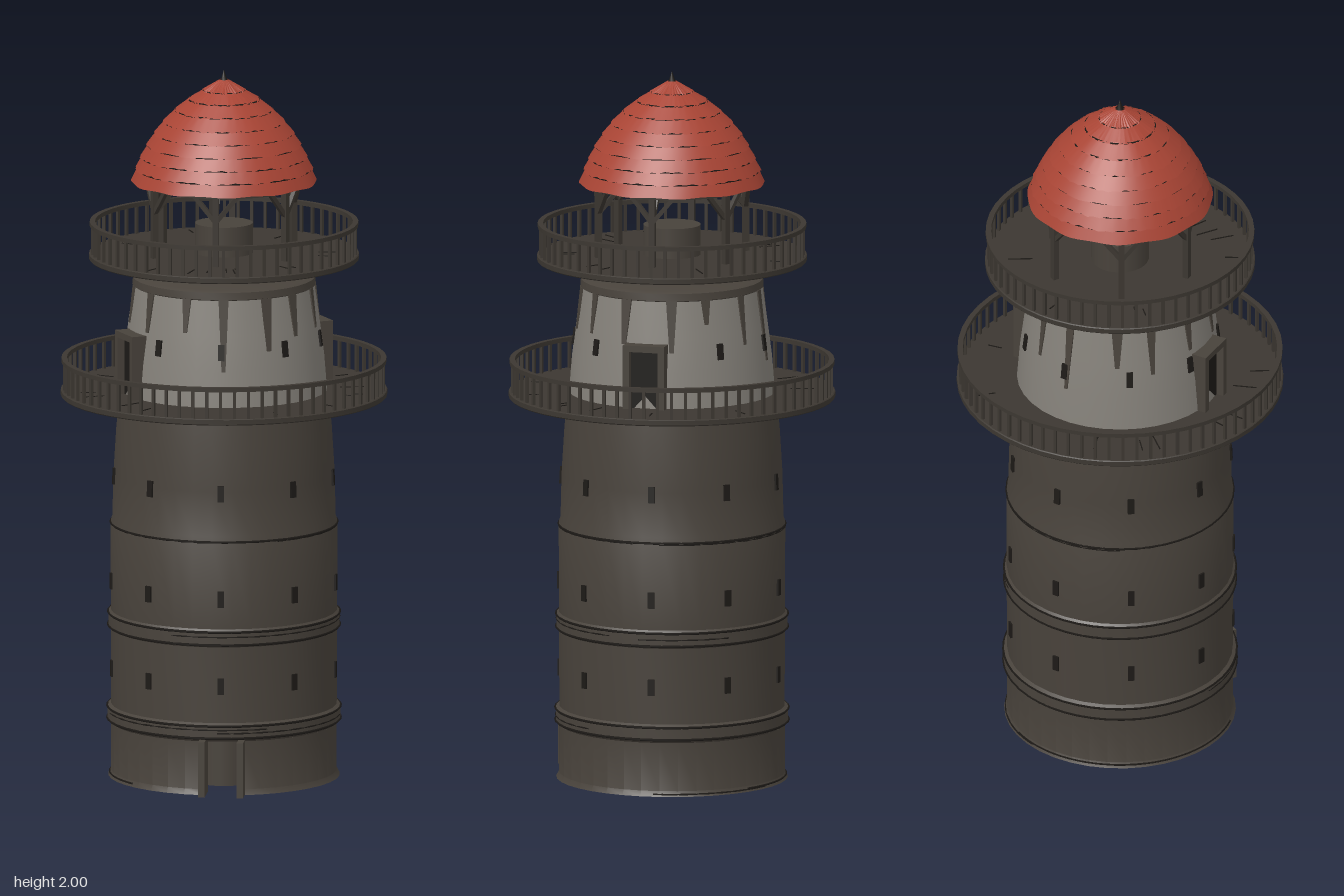
import * as THREE from 'three';
import { mergeGeometries, toCreasedNormals } from 'three/addons/utils/BufferGeometryUtils.js';

const mat = (name, color, extra = {}) => {
  const m = new THREE.MeshStandardMaterial({ color, ...extra });
  m.name = name;
  return m;
};
const V = (x, y, z) => new THREE.Vector3(x, y, z);
// point at angle a around the tower (a = 0 faces the front)
const polar = (r, a, y) => V(r * Math.sin(a), y, r * Math.cos(a));

export function createModel() {
  const root = new THREE.Group();
  const stone = mat('darkStone', 0x48423b);
  const plaster = mat('greyPlaster', 0x85817a);
  const lining = mat('paleLining', 0xb8b5ab, { side: THREE.DoubleSide });
  const wood = mat('darkWood', 0x3c3731);
  const ink = mat('blackLine', 0x1d1a17);
  const red = mat('redShingle', 0xa84434, { side: THREE.DoubleSide });

  const add = (name, geo, material) => {
    const m = new THREE.Mesh(geo, material);
    m.name = name;
    root.add(m);
    return m;
  };
  const lathe = (pts, start = 0, len = Math.PI * 2, seg = 36) => toCreasedNormals(
    new THREE.LatheGeometry(pts.map(p => new THREE.Vector2(p[0], p[1])), seg, start, len), 0.5);
  // box w x h x d standing on the circle of radius r, turned outward and leaning back by tilt
  const block = (w, h, d, r, a, y, tilt = 0, dx = 0) => {
    const g = new THREE.BoxGeometry(w, h, d);
    g.rotateX(-tilt);
    g.translate(dx, y, r);
    return g.rotateY(a);
  };
  const beam = (a, b, t) => {
    const g = new THREE.BoxGeometry(t, t, a.distanceTo(b));
    const m = new THREE.Matrix4().lookAt(b, a, V(0.01, 1, 0.02));
    g.applyMatrix4(m);
    const c = a.clone().add(b).multiplyScalar(0.5);
    return g.translate(c.x, c.y, c.z);
  };
  const hoop = (r, tube, y, arc = Math.PI * 2, start = 0) => {
    const g = new THREE.TorusGeometry(r, tube, 4, 48, arc);
    return g.rotateX(Math.PI / 2).rotateY(start).translate(0, y, 0);
  };
  let seed = 7;
  const rnd = () => (seed = (seed * 16807) % 2147483647) / 2147483647;

  // Lower wall, open at the front for the doorway
  const doorFrom = 0.27, doorTo = -0.08;
  add('baseWall', lathe([[0.27, 0.02], [0.32, 0.02], [0.312, 0.035], [0.312, 0.17], [0.27, 0.17], [0.27, 0.02]],
    doorFrom, Math.PI * 2 - doorFrom + doorTo), stone);
  const jambs = [];
  for (const x of [-0.025, 0.082]) {
    jambs.push(new THREE.BoxGeometry(0.018, 0.155, 0.1).translate(x, 0.0975, 0.305));
  }
  add('doorJambs', mergeGeometries(jambs), stone);

  // Main wall with slight ledges
  add('mainWall', lathe([[0.27, 0.17], [0.312, 0.17], [0.322, 0.18], [0.322, 0.215], [0.312, 0.222], [0.313, 0.435],
    [0.32, 0.442], [0.32, 0.478], [0.313, 0.486], [0.314, 0.73], [0.309, 0.745], [0.306, 0.87], [0.298, 1.0],
    [0.288, 1.09]]), stone);
  add('innerLining', lathe([[0.265, 1.08], [0.27, 0.17]]), lining);
  add('centralColumn', new THREE.CylinderGeometry(0.08, 0.08, 1.57, 20).translate(0, 0.785, 0), stone);

  // Upper plastered drum and its cap
  add('upperDrum', lathe([[0.285, 1.1], [0.277, 1.2], [0.264, 1.3], [0.248, 1.41]]), plaster);
  add('drumCap', lathe([[0.246, 1.395], [0.254, 1.4], [0.252, 1.42], [0.24, 1.426], [0, 1.426]]), stone);

  // Mortar lines around the wall, some only part of the way
  const lines = [];
  for (const [r, y] of [[0.322, 0.18], [0.322, 0.214], [0.32, 0.442], [0.32, 0.478], [0.313, 0.73], [0.287, 1.083]]) {
    lines.push(hoop(r, 0.0035, y));
  }
  for (let i = 0; i < 12; i++) {
    const [r, y] = [[0.32, 0.2], [0.318, 0.462], [0.312, 0.722], [0.315, 0.03]][i % 4];
    lines.push(hoop(r, 0.003, y + (rnd() - 0.5) * 0.012, 0.6 + rnd(), i * 1.3));
  }
  add('mortarLines', mergeGeometries(lines), ink);

  // Narrow windows in four rows
  const slits = [];
  for (const [y, r, tilt] of [[0.325, 0.312, 0], [0.57, 0.313, 0], [0.865, 0.306, 0.05], [1.255, 0.27, 0.13]]) {
    for (let i = 0; i < 9; i++) {
      const a = 0.08 + i * Math.PI * 2 / 9;
      slits.push(block(0.018, 0.045, 0.009, r, a, y, tilt));
    }
  }
  add('windowSlits', mergeGeometries(slits), ink);

  // Dark streaks running down the plaster: tapered thin plates
  const streaks = [];
  for (let i = 0; i < 14; i++) {
    const h = 0.06 + rnd() * 0.15, a = i * 0.449 + rnd() * 0.15;
    const g = new THREE.BoxGeometry(0.02 + rnd() * 0.012, h, 0.004);
    const p = g.attributes.position;
    for (let k = 0; k < p.count; k++) if (p.getY(k) < 0) p.setX(k, p.getX(k) * 0.4);
    const y = 1.4 - h / 2;
    streaks.push(g.rotateX(-0.12).translate(0, y, 0.25 + (1.41 - y) * 0.135).rotateY(a));
  }
  add('plasterStreaks', mergeGeometries(streaks), stone);

  // Two opposite doorways onto the lower gallery
  const frames = [], panels = [];
  for (const a of [Math.PI * 2 / 3, Math.PI * 5 / 3]) {
    for (const s of [-0.05, 0.05]) frames.push(block(0.018, 0.17, 0.07, 0.268, a, 1.185, 0, s));
    frames.push(block(0.118, 0.018, 0.07, 0.268, a, 1.272));
    panels.push(block(0.085, 0.165, 0.02, 0.272, a, 1.182));
  }
  add('galleryDoorFrames', mergeGeometries(frames), stone);
  add('galleryDoors', mergeGeometries(panels), ink);

  // Round galleries with balustrades
  const gallery = (name, r, y, inner, count) => {
    add(name + 'Floor', lathe([[inner, y], [r, y], [r + 0.003, y + 0.003], [r + 0.003, y + 0.016], [r, y + 0.018],
      [inner, y + 0.018]], 0, Math.PI * 2, 48), wood);
    const bars = [];
    for (let i = 0; i < count; i++) {
      bars.push(block(0.008, 0.09, 0.008, r - 0.007, i * Math.PI * 2 / count, y + 0.058));
    }
    add(name + 'Balusters', mergeGeometries(bars), wood);
    add(name + 'Handrail', lathe([[r - 0.014, y + 0.094], [r + 0.001, y + 0.094], [r + 0.001, y + 0.106],
      [r - 0.014, y + 0.106], [r - 0.014, y + 0.094]], 0, Math.PI * 2, 48), wood);
    // plank joints
    const joints = [];
    for (let i = 0; i < 14; i++) {
      const l = 0.03 + rnd() * 0.04;
      joints.push(block(0.003, 0.003, l, r - 0.03 - l / 2 - rnd() * 0.04, rnd() * 6.28, y + 0.0185));
    }
    add(name + 'PlankJoints', mergeGeometries(joints), ink);
  };
  gallery('lowerGallery', 0.448, 1.085, 0.2, 72);
  gallery('upperGallery', 0.37, 1.468, 0.02, 60);

  // Six posts with braces carrying the roof
  const posts = [], braces = [];
  for (let i = 0; i < 6; i++) {
    const a = i * Math.PI / 3;
    posts.push(block(0.017, 0.215, 0.017, 0.21, a, 1.585));
    for (const s of [-1, 1]) braces.push(beam(polar(0.21, a, 1.61), polar(0.212, a + s * 0.3, 1.685), 0.012));
    braces.push(beam(polar(0.21, a, 1.61), polar(0.14, a, 1.69), 0.012));
  }
  add('roofPosts', mergeGeometries(posts), wood);
  add('roofBraces', mergeGeometries(braces), wood);
  add('roofRing', lathe([[0.195, 1.678], [0.222, 1.678], [0.222, 1.695], [0.195, 1.695], [0.195, 1.678]]), wood);
  add('roofSoffit', new THREE.CircleGeometry(0.245, 40).rotateX(Math.PI / 2).translate(0, 1.695, 0), wood);

  // Domed roof of overlapping shingle tiers with uneven lower edges
  const R = [0.249, 0.238, 0.224, 0.207, 0.187, 0.162, 0.131, 0.094, 0.054, 0.013];
  const Y = [1.692, 1.727, 1.76, 1.793, 1.826, 1.858, 1.89, 1.92, 1.945, 1.972];
  const shadows = [];
  for (let i = 0; i < 9; i++) {
    const h = Y[i + 1] - Y[i] + 0.004;
    const g = new THREE.CylinderGeometry(R[i + 1], R[i] + 0.007, h, 80, 1, true);
    const p = g.attributes.position;
    for (let k = 0; k < p.count; k++) {
      if (p.getY(k) > 0) continue;
      const a = Math.atan2(p.getX(k), p.getZ(k));
      const wob = Math.sin(a * 40 + i) * 0.5 + Math.sin(a * 11 + i * 2) * 0.5;
      const s = 1 + wob * 0.012;
      p.setXYZ(k, p.getX(k) * s, p.getY(k) - wob * 0.003, p.getZ(k) * s);
    }
    g.translate(0, Y[i] + h / 2 - 0.004, 0);
    add('shingleTier' + (i + 1), toCreasedNormals(g, 0.3), red);
    if (i) shadows.push(hoop(R[i] + 0.003, 0.003, Y[i] - 0.004));
  }
  add('shingleShadowLines', mergeGeometries(shadows), ink);
  add('roofSpike', new THREE.ConeGeometry(0.011, 0.034, 8).translate(0, 1.983, 0), ink);

  return root;
}
